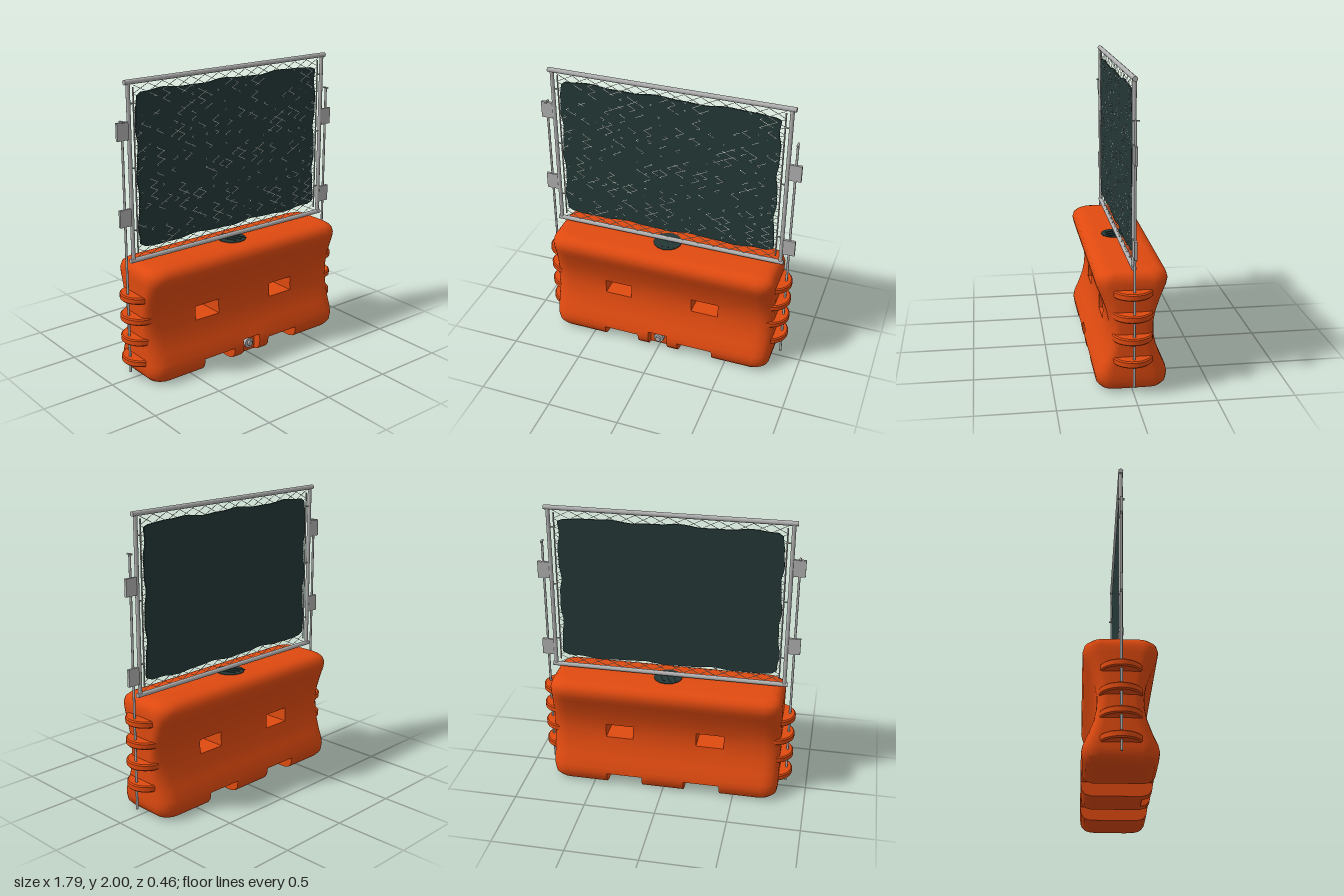
import * as THREE from 'three';
import { mergeGeometries, toCreasedNormals } from 'three/addons/utils/BufferGeometryUtils.js';

const paint = (name, color) => Object.assign(new THREE.MeshStandardMaterial({ color }), { name });

// Hourglass side section: [height, half depth]
const SECTION = [[0, .16], [.012, .2], [.04, .222], [.09, .23], [.13, .222], [.2, .19], [.28, .16],
  [.35, .145], [.4, .142], [.45, .143], [.52, .157], [.6, .185], [.65, .205], [.69, .222], [.73, .23],
  [.765, .22], [.785, .195], [.795, .17], [.8, .145]];
const HALF_X = [.07, .15, .225, .405, .42, .6, .7, .73, .76, .78, .795, .805, .81];

// Barrier shell on an x/y grid, with through windows, fork slots and a drain pocket
function bodyGeometry() {
  const xs = [...HALF_X.map(x => -x).reverse(), 0, ...HALF_X];
  const ys = SECTION.map(p => p[0]);
  const positions = [];

  const solid = (i, j) => {
    if (i < 0 || j < 0 || i >= xs.length - 1 || j >= ys.length - 1) return false;
    const x = Math.abs(xs[i] + xs[i + 1]) / 2, y = (ys[j] + ys[j + 1]) / 2;
    const windowCell = x > .225 && x < .42 && y > .35 && y < .45;
    const slotCell = x > .15 && x < .405 && y < .09;
    return !windowCell && !slotCell;
  };
  const pocket = (i, j) => Math.abs(xs[i] + xs[i + 1]) / 2 < .07 && ys[j] < .12;
  // Half depth, rounded off in plan near the ends
  const depth = (a, b) => {
    const d = Math.min(1, Math.max(0, (Math.abs(xs[a]) - .7) / .11));
    return SECTION[b][1] * (1 - .44 * (1 - Math.sqrt(1 - d * d)));
  };
  const front = (i, j, a, b) => pocket(i, j) ? Math.min(.165, depth(a, b)) : depth(a, b);
  // Corner of the grid, rounded off in elevation near the ends
  const point = (a, b, z) => {
    const y = ys[b], d = Math.min(1, Math.max(0, .07 - y, y - .73) / .07);
    const end = .81 - .075 * (1 - Math.sqrt(1 - d * d));
    const x = Math.abs(xs[a]);
    const warped = x > .6 ? .6 + (x - .6) * (end - .6) / .21 : x;
    return [Math.sign(xs[a]) * warped, y, z];
  };
  const quad = (a, b, c, d) => positions.push(...a, ...b, ...c, ...a, ...c, ...d);

  for (let i = 0; i < xs.length - 1; i++) for (let j = 0; j < ys.length - 1; j++) {
    if (!solid(i, j)) continue;
    const corners = [[i, j], [i + 1, j], [i + 1, j + 1], [i, j + 1]];
    quad(...corners.map(([a, b]) => point(a, b, front(i, j, a, b))));
    quad(...corners.map(([a, b]) => point(a, b, -depth(a, b))).reverse());
    // Side walls towards bottom, right, top and left neighbours
    [[0, -1], [1, 0], [0, 1], [-1, 0]].forEach(([di, dj], k) => {
      const p = corners[k], q = corners[(k + 1) % 4];
      const filled = solid(i + di, j + dj);
      const low = c => filled ? front(i + di, j + dj, ...c) : -depth(...c);
      const high = c => front(i, j, ...c);
      if (high(p) - low(p) < 1e-5 && high(q) - low(q) < 1e-5) return;
      quad(point(...p, low(p)), point(...q, low(q)), point(...q, high(q)), point(...p, high(p)));
    });
  }
  const geometry = new THREE.BufferGeometry();
  geometry.setAttribute('position', new THREE.Float32BufferAttribute(positions, 3));
  return toCreasedNormals(geometry, .65);
}

// Privacy sheet with wavy edges
function sheetGeometry() {
  const points = [], n = 40;
  const wave = (t, phase) => .007 * Math.sin(t * 19 + phase) + .003 * Math.sin(t * 41 + phase);
  const sides = [
    t => [-.75 + 1.49 * t, .903 + wave(t, 2)], t => [.742 + wave(t, 0), .903 + 1.015 * t],
    t => [.742 - 1.49 * t, 1.917 + wave(t, 4)], t => [-.75 + wave(t, 1), 1.917 - 1.015 * t]];
  for (const side of sides) {
    for (let i = 1; i < n; i++) points.push(new THREE.Vector2(...side(i / n)));
  }
  const geometry = new THREE.ExtrudeGeometry(new THREE.Shape(points), { depth: .01, bevelEnabled: false });
  return geometry.translate(0, 0, -.005);
}

// Chain-link wires zigzagging upwards, partly poking through the sheet
function wireGeometry() {
  let seed = 7;
  const random = () => (seed = (seed * 16807) % 2147483647) / 2147483647;
  const pieces = [], columns = 28, rows = 40;
  const dx = 1.54 / columns, dy = 1.12 / rows, up = new THREE.Vector3(0, 1, 0);
  for (let c = 0; c < columns; c++) {
    let last = null;
    for (let r = 0; r <= rows; r++) {
      const side = (r + c) % 2 ? .5 : -.5;
      const next = new THREE.Vector3(-.77 + dx * (c + .5 + side), .845 + dy * r, -.002 + .0085 * random());
      if (last) {
        const way = next.clone().sub(last);
        const piece = new THREE.BoxGeometry(.003, way.length(), .002);
        piece.applyQuaternion(new THREE.Quaternion().setFromUnitVectors(up, way.normalize()));
        const mid = next.clone().add(last).multiplyScalar(.5);
        pieces.push(piece.translate(mid.x, mid.y, mid.z));
      }
      last = next;
    }
  }
  return mergeGeometries(pieces);
}

export function createModel() {
  const model = new THREE.Group();
  model.name = 'barrierWithFence';
  const orange = paint('orangePlastic', 0xe04a10);
  const steel = paint('galvanizedSteel', 0xb0b0b0);
  const wire = paint('paleWire', 0xd2d2cc);
  const green = paint('darkGreen', 0x243836);

  const add = (name, geometry, material, x = 0, y = 0, z = 0) => {
    const mesh = new THREE.Mesh(geometry, material);
    mesh.name = name;
    mesh.position.set(x, y, z);
    model.add(mesh);
    return mesh;
  };
  const bar = (name, radius, length, x, y, alongX = false) => {
    const mesh = add(name, new THREE.CylinderGeometry(radius, radius, length, 14), steel, x, y);
    if (alongX) mesh.rotation.z = Math.PI / 2;
    return mesh;
  };

  // Barrier
  add('barrierBody', bodyGeometry(), orange);
  add('fillCap', new THREE.CylinderGeometry(.1, .105, .04, 14), green, 0, .784);
  for (const x of [-.045, 0, .045]) {
    add('fillCapRib', new THREE.BoxGeometry(.01, .006, .15), green, x, .805).rotation.y = .4;
  }
  const plug = add('drainPlug', new THREE.CylinderGeometry(.036, .036, .035, 16), steel, 0, .075, .18);
  plug.rotation.x = Math.PI / 2;
  const nut = add('drainNut', new THREE.CylinderGeometry(.02, .02, .02, 6), steel, 0, .075, .205);
  nut.rotation.x = Math.PI / 2;

  // Interlocking end lugs, pins and hinge plates
  const ends = [
    { side: -1, lugs: [.585, .437, .29, .14], plates: [1.685, 1.125] },
    { side: 1, lugs: [.66, .515, .367, .218], plates: [1.54, .96] }];
  for (const { side, lugs, plates } of ends) {
    for (const y of lugs) {
      const outline = [[0, -.023], [.122, -.023], [.13, -.015], [.13, .015], [.122, .023], [0, .023]];
      const lug = new THREE.LatheGeometry(outline.map(p => new THREE.Vector2(...p)), 32);
      add('endLug', toCreasedNormals(lug, .6), orange, side * .765, y);
    }
    bar('hingePin', .008, 1.7, side * .855, .9);
    add('pinHandle', new THREE.BoxGeometry(.012, .008, .046), steel, side * .855, 1.745);
    for (const y of plates) {
      add('hingePlate', new THREE.BoxGeometry(.082, .115, .018), steel, side * .854, y);
    }
    // Fence uprights
    bar('fencePost', .0135, 1.15, side * .803, 1.405);
    bar('tensionBar', .005, 1.08, side * .766, 1.41);
    for (const y of [1.85, 1.44, 1.03]) bar('tensionClip', .005, .05, side * .785, y, true);
  }

  // Fence rails, mesh and sheet
  bar('topRail', .016, 1.66, 0, 1.984, true);
  bar('bottomRail', .016, 1.65, 0, .828, true);
  add('chainLinkMesh', wireGeometry(), wire);
  add('privacySheet', sheetGeometry(), green);
  return model;
}
